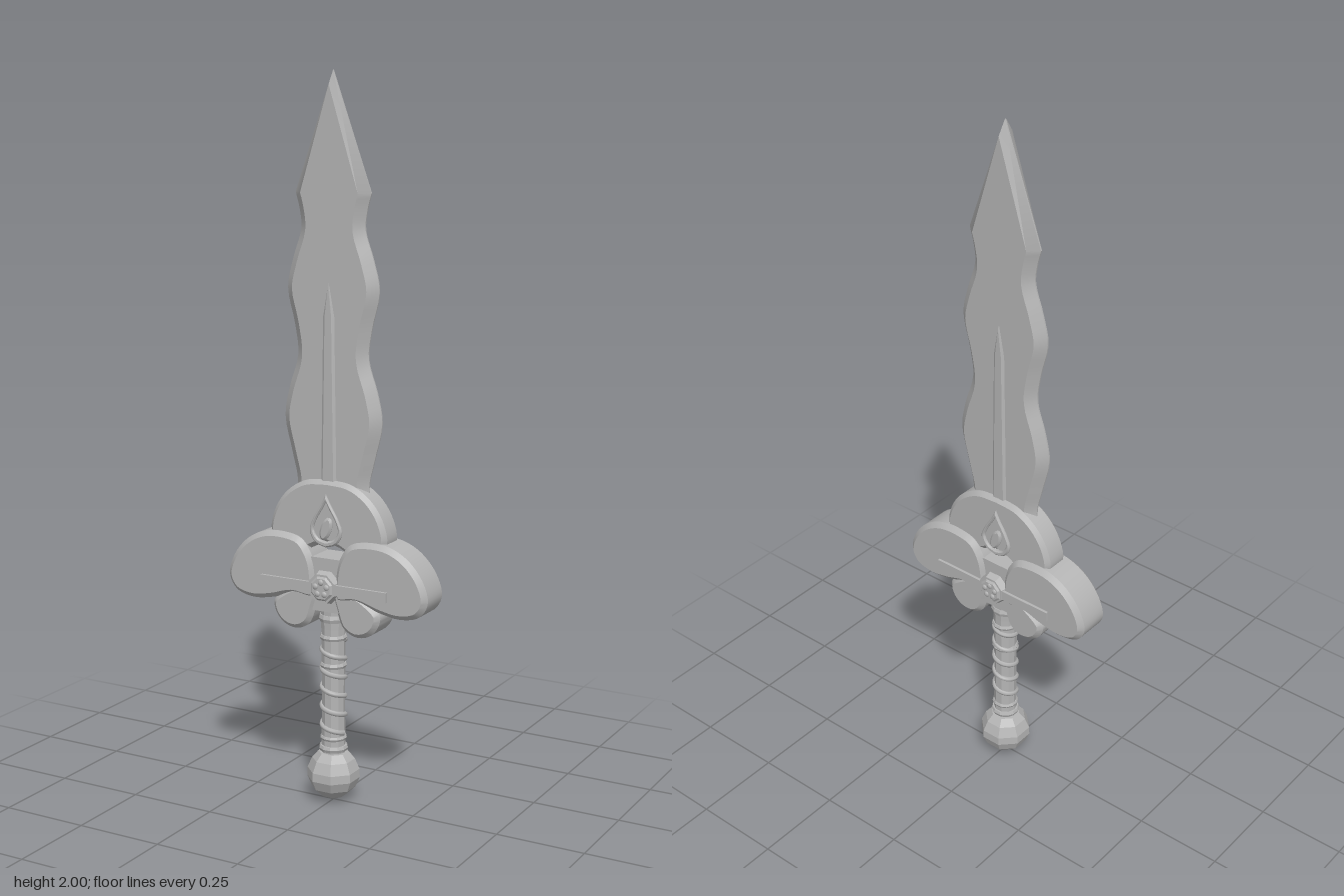
import * as THREE from 'three';
import { toCreasedNormals } from 'three/addons/utils/BufferGeometryUtils.js';

const steel = new THREE.MeshStandardMaterial({ color: 0xb4b4b4 });
steel.name = 'steel grey';

const v2 = (p) => new THREE.Vector2(p[0], p[1]);
// Smooth curve through points, sampled
const smooth = (pts, n, closed = false) => {
  const c = new THREE.CatmullRomCurve3(pts.map((p) => new THREE.Vector3(p[0], p[1], 0)), closed, 'centripetal');
  const out = c.getPoints(n).map((p) => [p.x, p.y]);
  if (closed) out.pop();
  return out;
};
// Full outline from a right half running from bottom centre to top centre
const mirrored = (half) => half.concat(
  half.filter((p) => Math.abs(p[0]) > 1e-4).reverse().map((p) => [-p[0], p[1]]));

// Plate centred on z = 0 with chamfered edges; the outline is the outermost edge
function plate(outline, halfZ, bevel, bevelZ = bevel, hole = null) {
  const shape = new THREE.Shape(outline.map(v2));
  if (hole) shape.holes.push(new THREE.Path(hole.map(v2)));
  const depth = 2 * (halfZ - bevelZ);
  const geo = new THREE.ExtrudeGeometry(shape, {
    depth, bevelEnabled: bevel > 0, bevelSize: bevel, bevelOffset: -bevel,
    bevelThickness: bevelZ, bevelSegments: 1,
  });
  geo.translate(0, 0, -depth / 2);
  return toCreasedNormals(geo, 0.45);
}

export function createModel() {
  const sword = new THREE.Group();
  sword.name = 'sword';
  const add = (name, geo, parent = sword) => {
    const m = new THREE.Mesh(geo, steel);
    m.name = name;
    parent.add(m);
    return m;
  };

  // Wavy blade with bevelled edges
  const wave = smooth([[0.125, 0.8], [0.11, 0.9], [0.127, 0.98], [0.149, 1.08], [0.135, 1.16], [0.108, 1.25],
    [0.117, 1.33], [0.139, 1.43], [0.122, 1.51], [0.097, 1.59], [0.102, 1.64], [0.114, 1.685]], 44);
  add('blade', plate(mirrored([...wave, [0, 2]]), 0.026, 0.026, 0.024));
  // Raised central rib on both faces
  add('bladeRib', plate(mirrored([[0.024, 0.86], [0.017, 1.36], [0, 1.45]]), 0.031, 0.007, 0.005));

  // Domed upper guard
  const dome = smooth([[0.035, 0.735], [0.09, 0.71], [0.15, 0.725], [0.179, 0.76], [0.168, 0.82],
    [0.13, 0.875], [0.07, 0.912], [0, 0.92]], 32);
  add('guardDome', plate(mirrored([[0, 0.745], ...dome]), 0.04, 0.012));

  // Two-lobed wings on each side
  const upper = smooth([[0.035, 0.59], [0.032, 0.66], [0.045, 0.71], [0.075, 0.75], [0.12, 0.763], [0.19, 0.76],
    [0.25, 0.73], [0.295, 0.675], [0.309, 0.62], [0.285, 0.58], [0.23, 0.565], [0.17, 0.573], [0.1, 0.592]], 64, true);
  const lower = smooth([[0.025, 0.61], [0.034, 0.56], [0.053, 0.515], [0.09, 0.495], [0.13, 0.502],
    [0.158, 0.53], [0.165, 0.565], [0.13, 0.598], [0.08, 0.62]], 44, true);
  for (const [side, s] of [['left', 1], ['right', -1]]) {
    const flip = (pts) => pts.map((p) => [p[0] * s, p[1]]);
    add(side + 'UpperWing', plate(flip(upper), 0.056, 0.014));
    add(side + 'LowerWing', plate(flip(lower), 0.052, 0.013));
  }
  add('guardCore', new THREE.BoxGeometry(0.09, 0.15, 0.09)).position.y = 0.63;

  // Cross bar, boss and teardrop on both faces
  const drop = (k) => mirrored(smooth([[0, -0.065], [0.032, -0.054], [0.05, -0.022], [0.038, 0.015],
    [0.014, 0.055], [0, 0.082]].map((p) => [p[0] * k, p[1] * k]), 16));
  const oval = Array.from({ length: 16 }, (_, i) => {
    const a = (i / 16) * Math.PI * 2;
    return [0.017 * Math.cos(a), 0.034 * Math.sin(a)];
  });
  for (const [side, turn] of [['front', 0], ['back', Math.PI]]) {
    const face = new THREE.Group();
    face.name = side + 'Ornament';
    face.rotation.y = turn;
    sword.add(face);
    add('crossBar', new THREE.BoxGeometry(0.39, 0.028, 0.02), face).position.set(0, 0.625, 0.054);
    // Stepped boss turned to face outward
    for (const [r1, r2, z0, z1] of [[0.042, 0.05, 0.04, 0.066], [0.03, 0.036, 0.066, 0.071]]) {
      const g = new THREE.CylinderGeometry(r1, r2, z1 - z0, 8).toNonIndexed();
      g.computeVertexNormals();
      g.rotateY(Math.PI / 8).rotateX(Math.PI / 2);
      add('boss', g, face).position.set(0, 0.625, (z0 + z1) / 2);
    }
    for (let i = 0; i < 5; i++) {
      const a = Math.PI / 2 + (i * Math.PI * 2) / 5;
      const petal = add('bossPetal', new THREE.SphereGeometry(0.009, 8, 6), face);
      petal.scale.z = 0.6;
      petal.position.set(0.018 * Math.cos(a), 0.625 + 0.018 * Math.sin(a), 0.07);
    }
    add('teardropFrame', plate(drop(1), 0.007, 0.004, 0.004, drop(0.76)), face).position.set(0, 0.8, 0.04);
    const gem = add('teardropGem', plate(oval, 0.007, 0.006, 0.005), face);
    gem.position.set(0, 0.786, 0.04);
    gem.rotation.z = -0.35;
  }

  // Grip with collars
  const lathe = (pts, n) => {
    const g = new THREE.LatheGeometry(pts.map(v2), n, Math.PI / n).toNonIndexed();
    g.computeVertexNormals();
    return g;
  };
  add('grip', lathe([[0.034, 0.12], [0.032, 0.3], [0.034, 0.5], [0.038, 0.6]], 10));
  for (const [y, r, h] of [[0.155, 0.041, 0.016], [0.185, 0.038, 0.012], [0.395, 0.038, 0.014],
    [0.475, 0.039, 0.014], [0.53, 0.041, 0.02]]) {
    add('gripCollar', lathe([[0.03, y - h / 2], [r - 0.003, y - h / 2], [r, y], [r - 0.003, y + h / 2],
      [0.03, y + h / 2]], 12));
  }
  // Spiral wrap
  const turns = 5;
  const helix = new THREE.CatmullRomCurve3(Array.from({ length: turns * 12 + 1 }, (_, i) => {
    const a = (i / 12) * Math.PI * 2;
    return new THREE.Vector3(0.032 * Math.cos(a), 0.2 + (0.27 * i) / (turns * 12), 0.032 * Math.sin(a));
  }));
  add('gripWrap', new THREE.TubeGeometry(helix, turns * 24, 0.0075, 6));

  // Faceted pommel
  add('pommel', lathe([[0, 0], [0.036, 0.016], [0.062, 0.04], [0.074, 0.068], [0.073, 0.092],
    [0.06, 0.122], [0.042, 0.142], [0, 0.142]], 8));

  return sword;
}
